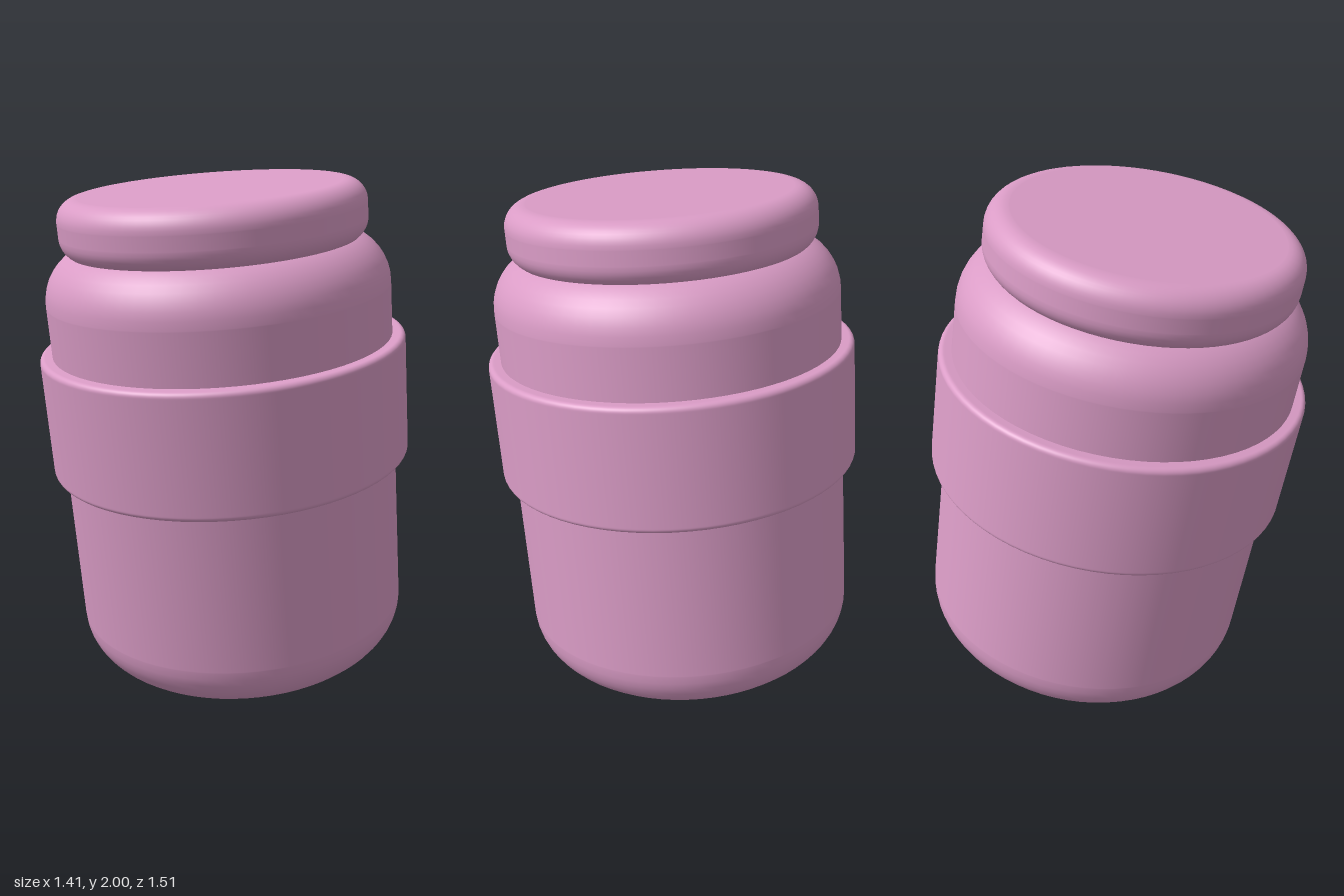
import * as THREE from 'three';

// Closed disc-like profile with rounded outer corners, from the axis (or inner radius) outwards
function roundedProfile(radius, bottom, top, corner, inner = 0) {
  const pts = [new THREE.Vector2(inner, bottom)];
  const steps = 10, guard = 0.004;
  const c = radius - corner;
  pts.push(new THREE.Vector2(c - guard, bottom));
  for (let i = 0; i <= steps; i++) {
    const a = -Math.PI / 2 + (i / steps) * Math.PI / 2;
    pts.push(new THREE.Vector2(c + corner * Math.cos(a), bottom + corner + corner * Math.sin(a)));
  }
  pts.push(new THREE.Vector2(radius, bottom + corner + guard));
  pts.push(new THREE.Vector2(radius, top - corner - guard));
  for (let i = 0; i <= steps; i++) {
    const a = (i / steps) * Math.PI / 2;
    pts.push(new THREE.Vector2(c + corner * Math.cos(a), top - corner + corner * Math.sin(a)));
  }
  pts.push(new THREE.Vector2(c - guard, top));
  pts.push(new THREE.Vector2(inner, top));
  return pts;
}

export function createModel() {
  const model = new THREE.Group();
  model.name = 'jar';
  const pink = new THREE.MeshStandardMaterial({ color: 0xda9cc6 });
  pink.name = 'pink';

  // The whole jar leans forward about the foot of the label band
  const jar = new THREE.Group();
  jar.name = 'leaningJar';
  jar.position.set(0, 0.8875, -0.0075);
  jar.rotation.x = THREE.MathUtils.degToRad(8.4);
  model.add(jar);

  const addPart = (name, ...profile) => {
    const mesh = new THREE.Mesh(new THREE.LatheGeometry(roundedProfile(...profile), 72), pink);
    mesh.name = name;
    jar.add(mesh);
  };

  addPart('body', 0.657, -0.826, 0.867, 0.2);
  addPart('labelBand', 0.706, 0, 0.47, 0.02, 0.64);
  addPart('lid', 0.58, 0.83, 1.05, 0.08);

  return model;
}
